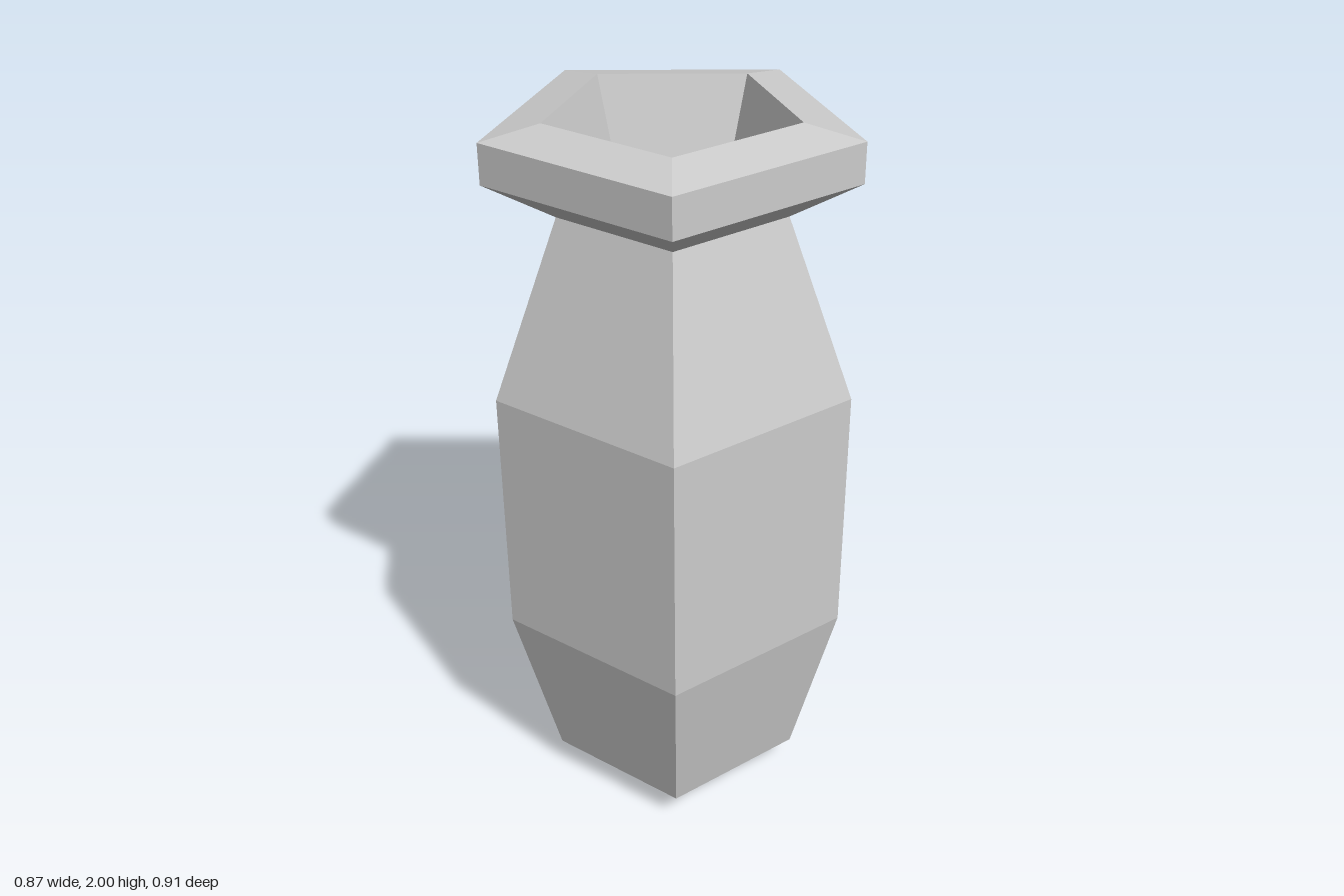
import * as THREE from 'three';

const SIDES = 5;

// Five-sided shell turned from [radius, height] points, one corner facing +x
function pentagonShell(name, profile, material) {
  const points = profile.map(([r, y]) => new THREE.Vector2(r, y));
  const geometry = new THREE.LatheGeometry(points, SIDES, Math.PI / 2);
  const mesh = new THREE.Mesh(geometry, material);
  mesh.name = name;
  return mesh;
}

export function createModel() {
  const material = new THREE.MeshStandardMaterial({ color: 0xcccccc, flatShading: true });
  const vase = new THREE.Group();
  vase.name = 'vase';

  // Closed base, chamfered foot, straight belly and tapering shoulder
  const body = pentagonShell('body', [
    [0, 0], [0.252, 0], [0.357, 0.09], [0.479, 0.575], [0.479, 1.28], [0.299, 1.76],
  ], material);

  // Flared lip with a slightly raised inner edge
  const rim = pentagonShell('rim', [
    [0.299, 1.76], [0.479, 1.865], [0.479, 1.97], [0.325, 2],
  ], material);

  // Tapered recess and its flat floor
  const opening = pentagonShell('opening', [
    [0.325, 2], [0.239, 1.74], [0, 1.74],
  ], material);

  vase.add(body, rim, opening);
  // Centre the pentagon's bounds on x
  vase.children.forEach((part) => { part.position.x = -0.046; });

  const model = new THREE.Group();
  model.name = 'model';
  model.add(vase);
  return model;
}
